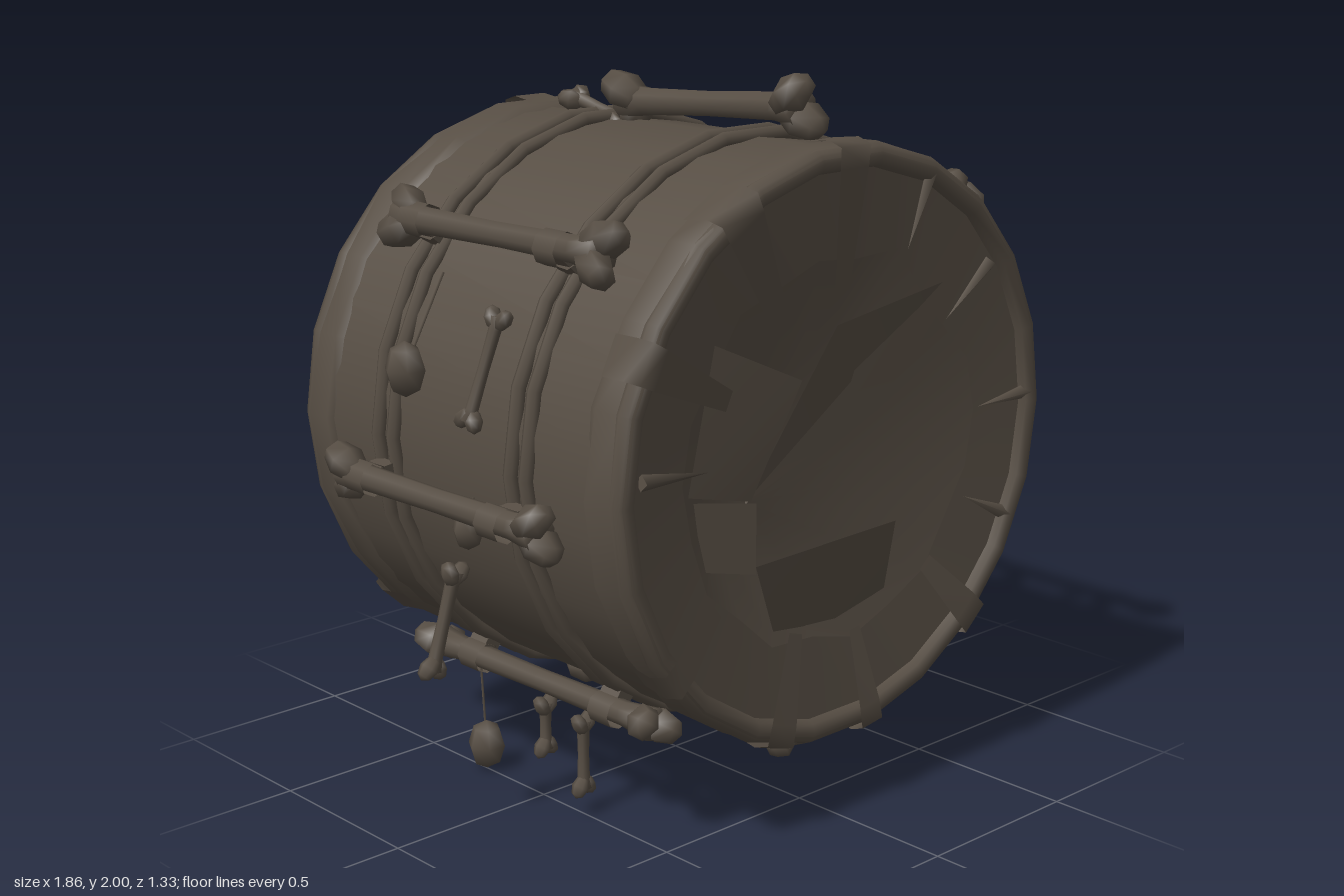
import * as THREE from 'three';
import { mergeGeometries } from 'three/addons/utils/BufferGeometryUtils.js';

const hide = new THREE.MeshStandardMaterial({ color: 0x574e44, side: THREE.DoubleSide });
hide.name = 'dark brown hide';
const CY = 1.035; // height of the drum axis
const V = (x, y, z) => new THREE.Vector3(x, y, z);
const wobble = (i, s = 1) => { const n = Math.sin(i * 12.9898 + s * 78.233) * 43758.5453; return (n - Math.floor(n)) * 2 - 1; };
const polar = (deg, r, z) => V(r * Math.cos(deg * Math.PI / 180), CY + r * Math.sin(deg * Math.PI / 180), z);

function add(parent, name, geo) {
  const m = new THREE.Mesh(geo, hide);
  m.name = name;
  parent.add(m);
  return m;
}

// Skin a surface over a list of rings of points
function loft(rings, closed = true) {
  const n = rings[0].length, pos = [], idx = [];
  rings.forEach(r => r.forEach(p => pos.push(p.x, p.y, p.z)));
  for (let i = 0; i < rings.length - 1; i++) {
    for (let j = 0; j < (closed ? n : n - 1); j++) {
      const k = (j + 1) % n, a = i * n + j, b = i * n + k, c = a + n, d = b + n;
      idx.push(a, b, c, b, d, c);
    }
  }
  const g = new THREE.BufferGeometry();
  g.setAttribute('position', new THREE.Float32BufferAttribute(pos, 3));
  g.setIndex(idx);
  g.computeVertexNormals();
  return g;
}

const ring = (n, f) => Array.from({ length: n }, (_, i) => f(i, i * 360 / n));

// Place a mesh built along y so that it runs from a to b, its x axis turned toward side
function span(obj, a, b, side = V(1, 0.01, 0.02)) {
  const y = b.clone().sub(a).normalize();
  const x = side.clone().addScaledVector(y, -side.dot(y)).normalize();
  obj.position.copy(a).add(b).multiplyScalar(0.5);
  obj.quaternion.setFromRotationMatrix(new THREE.Matrix4().makeBasis(x, y, x.clone().cross(y)));
  return obj;
}

// Bone with a waisted shaft and two flared knuckles at each end
function bone(parent, name, a, b, r, side) {
  const knob = r * 1.35, h = a.distanceTo(b) / 2, e = h - knob;
  const profile = [[0.01, -e], [r * 1.3, -e], [r * 0.95, -e * 0.76], [r * 0.85, 0], [r * 0.95, e * 0.76], [r * 1.3, e], [0.01, e]];
  const parts = [new THREE.LatheGeometry(profile.map(p => new THREE.Vector2(...p)), 8)];
  for (const s of [-1, 1]) for (const t of [-1, 1]) {
    const k = new THREE.SphereGeometry(knob, 6, 4);
    k.scale(0.9, 1.35, 1.05);
    k.rotateZ(-s * t * 0.5);
    k.translate(t * knob * 0.65, s * (e - knob * 0.2), t * knob * 0.15);
    parts.push(k);
  }
  return span(add(parent, name, mergeGeometries(parts)), a, b, side);
}

// Leather strip folded over the rim and tapering toward the middle
function strap(parent, deg, inner, width, side) {
  const row = (r, z, w) => [-1, 1].map(s => polar(deg + s * w / r * 28.6, r, z * side));
  add(parent, 'rimStrap', loft([
    row(0.80, 0.53, width), row(0.812, 0.62, width), row(0.797, 0.664, width),
    row(0.74, 0.66, width * 0.95), row(inner, 0.625, width * 0.5),
  ], false));
}

// Hanging pebble on a cord
function charm(parent, top, p, r) {
  const stone = add(parent, 'hangingStone', new THREE.SphereGeometry(r, 6, 4));
  stone.scale.set(0.95, 1.25, 0.95);
  stone.position.copy(p);
  span(add(parent, 'cord', new THREE.CylinderGeometry(0.004, 0.004, top.distanceTo(p), 4)), top, p);
}

function drumEnd(parent, side) {
  const end = new THREE.Group();
  end.name = side > 0 ? 'frontEnd' : 'backEnd';
  parent.add(end);
  const N = 22, z = v => v * side;

  // Ragged leather skirt wrapped flat around the shell
  add(end, 'skirt', loft([
    ring(N, (i, d) => polar(d, 0.785, z(0.52 + 0.015 * wobble(i, side)))),
    ring(N, (i, d) => polar(d, 0.80 + 0.006 * wobble(i, 2), z(0.535))),
    ring(N, (i, d) => polar(d, 0.798 + 0.006 * wobble(i, 3), z(0.63))),
    ring(N, (i, d) => polar(d, 0.782, z(0.655))),
    ring(N, (i, d) => polar(d, 0.75, z(0.65))),
  ]));
  const rim = add(end, 'rim', new THREE.TorusGeometry(0.768, 0.034, 8, N));
  rim.position.set(0, CY, z(0.624));

  // Head with a torn, nearly flat centre gathered to an off-centre point
  const edge = (i, d) => polar(d, 0.525 + 0.035 * wobble(i, 5 + side), z(0.61));
  const apex = side > 0 ? V(-0.3, 0.94, 0.58) : V(-0.45, 0.86, -0.58);
  const outer = ring(N, edge);
  add(end, 'head', loft([ring(N, (i, d) => polar(d, 0.765, z(0.63))), outer]));
  add(end, 'tornCentre', loft([
    outer,
    outer.map(p => p.clone().lerp(apex, 0.45).add(V(0, 0, z(-0.03)))),
    outer.map(p => p.clone().lerp(apex, 0.99)),
  ]));

  // Curled flaps of torn skin
  const flap = (...p) => add(end, 'tornFlap', loft([[p[0], p[1]], [p[2], p[3]]], false));
  if (side > 0) {
    flap(V(0.4, 1.42, 0.62), V(0.0, 1.36, 0.61), V(0.12, 1.2, 0.57), V(-0.3, 0.95, 0.59));
    flap(V(-0.31, 0.78, 0.63), V(0.2, 0.8, 0.65), V(-0.18, 0.5, 0.59), V(0.22, 0.5, 0.58));
    flap(V(-0.45, 1.38, 0.62), V(-0.17, 1.25, 0.65), V(-0.52, 1.0, 0.6), V(-0.31, 0.95, 0.61));
    flap(V(-0.5, 0.98, 0.59), V(-0.31, 0.95, 0.63), V(-0.5, 0.8, 0.59), V(-0.31, 0.76, 0.63));
  } else {
    flap(V(0.46, 1.25, -0.61), V(0.2, 1.2, -0.58), V(0.5, 0.85, -0.61), V(0.1, 0.92, -0.58));
    flap(V(-0.5, 0.82, -0.62), V(-0.2, 0.8, -0.6), V(-0.25, 0.56, -0.62), V(0.1, 0.53, -0.61));
  }

  // Folded straps and small thorns round the rim
  const straps = [[90, 0.42, 0.11], [121, 0.46, 0.14], [154, 0.45, 0.11], [218, 0.56, 0.09], [252, 0.5, 0.1],
    [278, 0.52, 0.08], [312, 0.53, 0.1]];
  straps.forEach(([d, r, w]) => strap(end, side > 0 ? d : 180 - d, r + (side > 0 ? 0 : 0.06), w, side));
  [[176, 0.5], [2, 0.55], [65, 0.56], [335, 0.55], [36, 0.5]].forEach(([d, r]) => {
    const t = add(end, 'thorn', new THREE.ConeGeometry(0.022, 0.22, 4));
    span(t, polar(d, r + 0.2, z(0.635)), polar(d, r, z(0.64)), V(0, 0, 1));
  });
}

export function createModel() {
  const model = new THREE.Group();
  model.name = 'boneDrum';

  // Shell
  const shell = new THREE.CylinderGeometry(0.783, 0.783, 1.22, 22, 1, true);
  shell.rotateX(Math.PI / 2);
  add(model, 'shell', shell).position.y = CY;
  drumEnd(model, 1);
  drumEnd(model, -1);

  // Paired rope hoops
  for (const z of [0.24, 0.3, -0.25, -0.315]) {
    const hoop = add(model, 'ropeHoop', new THREE.TorusGeometry(0.792, 0.02, 6, 22));
    hoop.position.set(0, CY, z);
  }

  // Long bones lashed along the shell
  const lashed = (x, y, z0, z1, r) => {
    bone(model, 'lashedBone', V(x, y + 0.01, z0), V(x, y, z1), r, V(CY - y, x, 0));
    for (const z of [0.275, -0.28]) {
      const wrap = add(model, 'lashing', new THREE.CylinderGeometry(r * 1.2, r * 1.2, 0.08, 8, 1, true));
      wrap.rotation.x = Math.PI / 2;
      wrap.position.set(x, y, z);
      const foot = add(model, 'lashingFoot', new THREE.BoxGeometry(0.07, 0.08, 0.05));
      const dir = V(-x, CY - y, 0).normalize();
      span(foot, V(x, y, z), V(x, y, z).addScaledVector(dir, 0.08), V(0, 0, 1));
    }
  };
  for (const s of [-1, 1]) {
    lashed(s * 0.66, 1.6, 0.5, -0.41, 0.04);
    lashed(s * 0.865, 0.935, 0.49, -0.41, 0.038);
    lashed(s * 0.5, 0.34, 0.5, -0.5, 0.036);
  }
  lashed(0, 0.175, 0.51, -0.41, 0.038);

  // Loose bones on top
  bone(model, 'topBone', V(-0.035, 1.92, 0.555), V(0.01, 1.86, -0.26), 0.042, V(-0.3, 1, 0));
  bone(model, 'topSmallBone', V(0.01, 1.8, -0.2), V(0, 1.865, -0.45), 0.022);

  // Trinkets on the flanks
  for (const s of [-1, 1]) {
    bone(model, 'flankBone', V(s * 0.73, 1.44, 0.14), V(s * 0.82, 1.13, 0.1), 0.018, V(0, 0, 1));
    charm(model, V(s * 0.68, 1.48, -0.16), V(s * 0.83, 1.25, -0.135), 0.06);
  }
  charm(model, V(-0.8, 0.95, 0.1), V(-0.82, 0.87, 0.1), 0.045);

  // Hanging bones and stones beneath
  bone(model, 'hangingBone', V(-0.82, 0.77, 0.05), V(-0.9, 0.46, 0.03), 0.02);
  bone(model, 'hangingBone', V(-0.5, 0.3, 0.17), V(-0.5, 0.06, 0.17), 0.018);
  bone(model, 'hangingBone', V(-0.49, 0.3, 0.0), V(-0.49, 0.12, 0.0), 0.018);
  bone(model, 'hangingBone', V(0.49, 0.3, 0.0), V(0.49, 0.12, 0.0), 0.018);
  charm(model, V(0.5, 0.33, 0.24), V(0.47, 0.085, 0.24), 0.063);
  charm(model, V(0.5, 0.33, -0.28), V(0.47, 0.1, -0.3), 0.06);
  charm(model, V(-0.5, 0.33, -0.27), V(-0.5, 0.08, -0.25), 0.058);
  return model;
}
